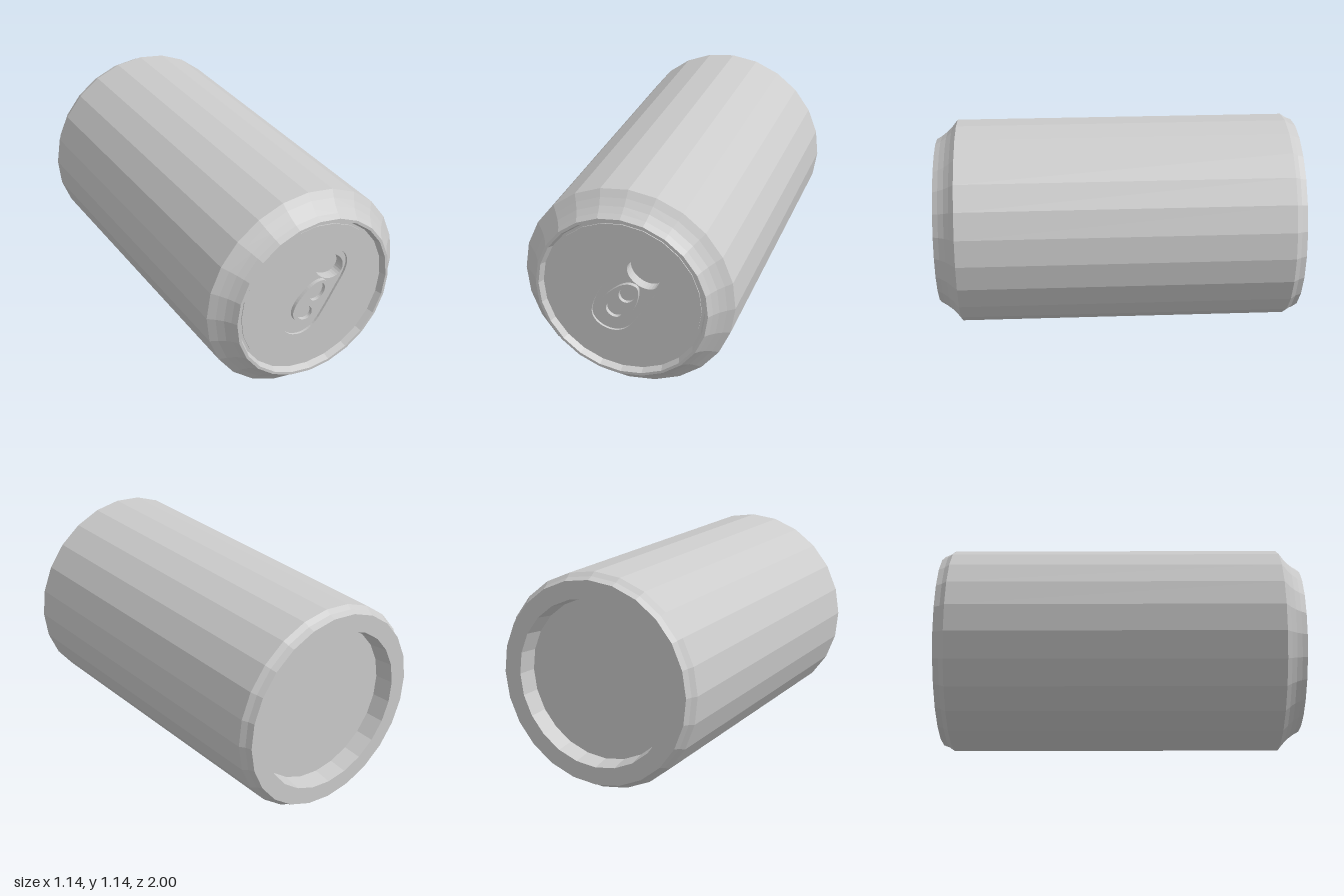
import * as THREE from 'three';

const SIDES = 24, RADIUS = 0.572, TWIST = -0.021;
const TILT = THREE.MathUtils.degToRad(-35);
const material = new THREE.MeshStandardMaterial({ color: 0xcccccc, flatShading: true });

const v2 = (p) => new THREE.Vector2(p[0], p[1]);

// Smooth closed outline through a few points
function outline(points, count = 56) {
  const curve = new THREE.CatmullRomCurve3(points.map(([x, y]) => new THREE.Vector3(x, y, 0)), true);
  return curve.getPoints(count).slice(0, -1).map((p) => new THREE.Vector2(p.x, p.y));
}

// Tilted oval outline
function oval(x, y, rx, ry, angle) {
  const curve = new THREE.EllipseCurve(x, y, rx, ry, 0, Math.PI * 2, false, angle);
  return curve.getPoints(32).slice(0, -1);
}

// Flat plate between two depths, with holes cut through it
function plate(name, points, holes, zBack, zFront) {
  const shape = new THREE.Shape(points);
  shape.holes = holes.map((h) => new THREE.Path(h));
  const geometry = new THREE.ExtrudeGeometry(shape, { depth: zFront - zBack, bevelEnabled: false });
  geometry.translate(0, 0, zBack);
  const mesh = new THREE.Mesh(geometry, material);
  mesh.name = name;
  return mesh;
}

export function createModel() {
  const can = new THREE.Group();
  can.name = 'can';

  // Shell: recessed base, side wall, curved neck and rim, in one turned profile
  const profile = [
    [0, -0.9], [0.43, -0.9], [0.445, -1], [0.54, -1],
    [0.553, -0.967], [RADIUS, -0.94], [RADIUS, 0.88],
    [0.537, 0.908], [0.506, 0.938], [0.482, 0.97], [0.465, 1],
    [0.45, 1], [0.436, 0.965], [0.40, 0.965],
  ].map(v2);
  const shellGeometry = new THREE.LatheGeometry(profile, SIDES, TWIST);
  shellGeometry.rotateX(Math.PI / 2);
  shellGeometry.translate(0, RADIUS, 0);
  const shell = new THREE.Mesh(shellGeometry, material);
  shell.name = 'shell';
  can.add(shell);

  // Lid panel with a shallow recess around the tab
  const lid = Array.from({ length: SIDES }, (_, i) => {
    const a = TWIST - Math.PI / 2 + (i / SIDES) * Math.PI * 2;
    return new THREE.Vector2(0.422 * Math.cos(a), RADIUS + 0.422 * Math.sin(a));
  });
  const recess = outline([
    [0.09, 0.824], [0.16, 0.806], [0.203, 0.757], [0.213, 0.71], [0.198, 0.655],
    [0.15, 0.575], [0.085, 0.47], [0.03, 0.395], [-0.015, 0.364], [-0.068, 0.355],
    [-0.125, 0.373], [-0.163, 0.412], [-0.172, 0.455], [-0.15, 0.535],
    [-0.09, 0.645], [-0.01, 0.762], [0.04, 0.808],
  ]);
  can.add(plate('lidPanel', lid, [recess], 0.957, 0.97));

  // Recess floor with the drinking opening cut through it
  const opening = oval(0.11, 0.713, 0.093, 0.07, TILT);
  can.add(plate('recessFloor', recess, [opening], 0.9, 0.957));
  can.add(plate('openingBottom', opening, [], 0.895, 0.9));

  // Pull tab with two finger holes
  const tab = outline([
    [0.05, 0.656], [0.082, 0.643], [0.09, 0.61], [0.075, 0.54], [0.04, 0.472],
    [0, 0.433], [-0.044, 0.42], [-0.09, 0.443], [-0.117, 0.497], [-0.1, 0.552],
    [-0.05, 0.607], [0.005, 0.646],
  ]);
  const tabHoles = [
    oval(0.029, 0.593, 0.042, 0.053, TILT),
    oval(-0.045, 0.487, 0.046, 0.041, TILT),
  ];
  can.add(plate('pullTab', tab, tabHoles, 0.957, 0.978));

  return can;
}
